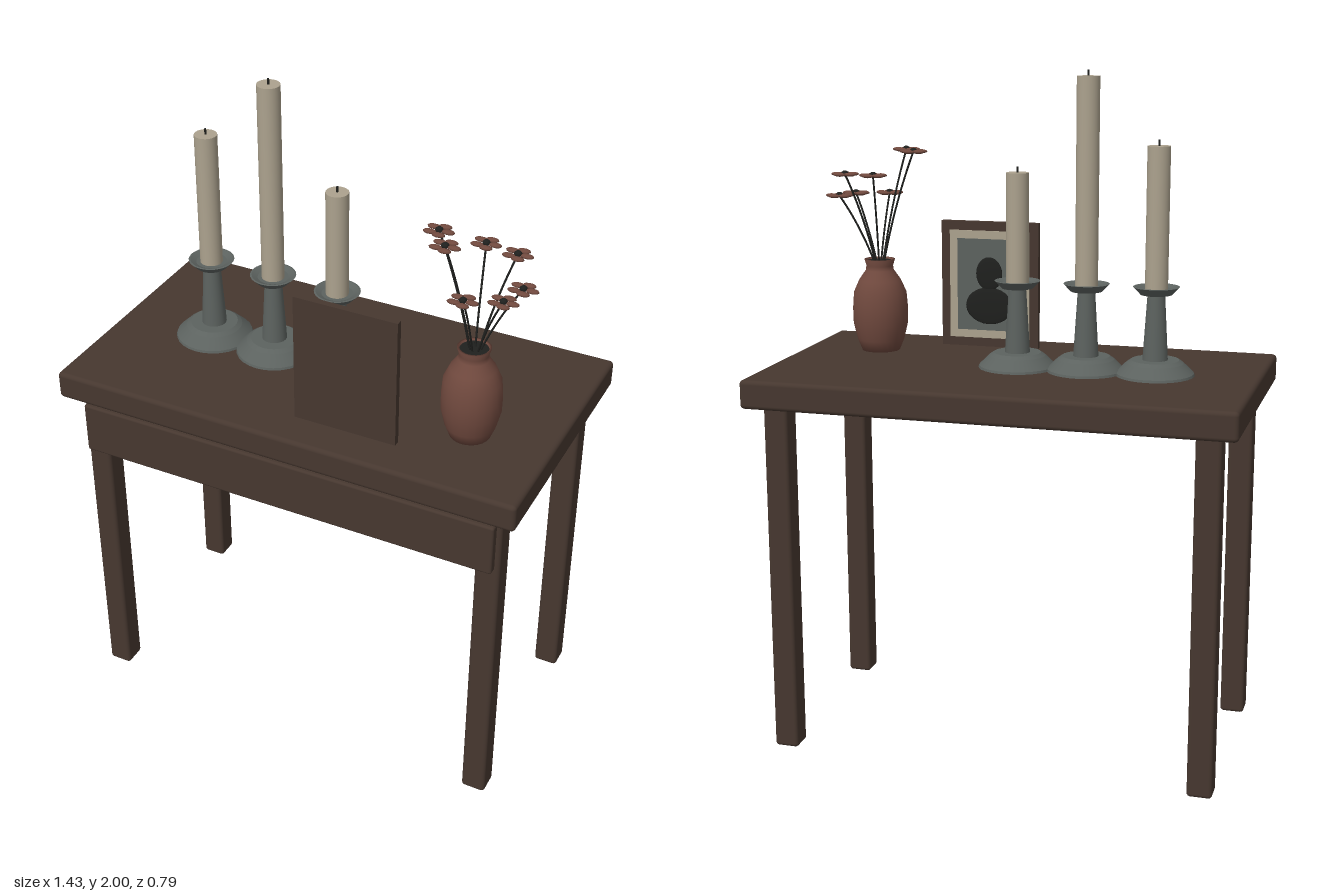
import * as THREE from 'three';
import { RoundedBoxGeometry } from 'three/addons/geometries/RoundedBoxGeometry.js';

const mat = (name, color) => Object.assign(new THREE.MeshStandardMaterial({ color }), { name });

export function createModel() {
  const wood = mat('dark wood', 0x46372f);
  const metal = mat('grey metal', 0x5c625f);
  const wax = mat('cream wax', 0xaca28e);
  const clay = mat('clay', 0x70493e);
  const dark = mat('charcoal', 0x1f201e);
  const root = new THREE.Group();

  const add = (parent, name, geo, material, x = 0, y = 0, z = 0) => {
    const m = new THREE.Mesh(geo, material);
    m.name = name;
    m.position.set(x, y, z);
    parent.add(m);
    return m;
  };
  const group = (name, x = 0, y = 0, z = 0) => {
    const g = new THREE.Group();
    g.name = name;
    g.position.set(x, y, z);
    root.add(g);
    return g;
  };
  // Lathe with a hard edge between each pair of profile points
  const turned = (parent, name, pts, material, seg) => {
    for (let i = 0; i < pts.length - 1; i++) {
      const pair = [pts[i], pts[i + 1]].map(p => new THREE.Vector2(p[0], p[1]));
      add(parent, name, new THREE.LatheGeometry(pair, seg), material);
    }
  };

  // Table
  const table = group('table');
  add(table, 'tableTop', new RoundedBoxGeometry(1.43, 0.085, 0.79, 3, 0.013), wood, 0, 1.0975, 0);
  for (const sx of [-1, 1]) for (const sz of [-1, 1]) {
    add(table, 'leg', new RoundedBoxGeometry(0.073, 1.06, 0.073, 3, 0.011), wood, sx * 0.628, 0.53, sz * 0.308);
  }
  add(table, 'apron', new RoundedBoxGeometry(1.3, 0.16, 0.03, 3, 0.007), wood, 0, 0.95, 0.355);

  // Candlesticks: x position and top of candle
  for (const [x, top] of [[-0.412, 1.795], [-0.207, 1.985], [0, 1.71]]) {
    const g = group('candlestick', x);
    turned(g, 'base', [[0, 1.14], [0.115, 1.14], [0.113, 1.147], [0.083, 1.176], [0.07, 1.185], [0, 1.185]], metal, 28);
    turned(g, 'stem', [[0.037, 1.183], [0.025, 1.38]], metal, 20);
    turned(g, 'dish', [[0, 1.375], [0.046, 1.375], [0.067, 1.397], [0.062, 1.398], [0.045, 1.39], [0, 1.39]], metal, 28);
    add(g, 'candle', new THREE.CylinderGeometry(0.033, 0.033, top - 1.39, 24), wax, 0, (top + 1.39) / 2, 0);
    add(g, 'wick', new THREE.CylinderGeometry(0.003, 0.003, 0.022, 8), dark, 0, top + 0.006, 0);
  }

  // Picture frame, its picture facing the back
  const frame = group('pictureFrame', 0.1625, 1.335, 0);
  add(frame, 'frameBoard', new THREE.BoxGeometry(0.31, 0.39, 0.02), wood, 0, 0, 0.272);
  add(frame, 'mat', new THREE.BoxGeometry(0.255, 0.335, 0.005), wax, 0, 0, 0.26);
  add(frame, 'picturePanel', new THREE.BoxGeometry(0.205, 0.285, 0.005), metal, 0, 0, 0.2575);
  add(frame, 'portraitHead', new THREE.SphereGeometry(1, 20, 12), dark, 0, 0.035, 0.255).scale.set(0.042, 0.052, 0.005);
  add(frame, 'portraitShoulders', new THREE.SphereGeometry(1, 20, 12), dark, 0, -0.065, 0.255).scale.set(0.075, 0.058, 0.005);

  // Vase
  const vx = 0.477, vz = 0.136;
  const vase = group('vase', vx, 0, vz);
  const profile = [[0, 1.14], [0.058, 1.14], [0.072, 1.175], [0.084, 1.225], [0.085, 1.27], [0.081, 1.32],
    [0.064, 1.358], [0.043, 1.388], [0.041, 1.402], [0.047, 1.422], [0.041, 1.422], [0.036, 1.4]];
  add(vase, 'vaseBody', new THREE.LatheGeometry(profile.map(p => new THREE.Vector2(...p)), 24), clay);
  add(vase, 'vaseMouth', new THREE.CylinderGeometry(0.041, 0.041, 0.004, 24), dark, 0, 1.415, 0);

  // Flowers on curved stems
  const heads = [[0.365, 1.75, 0.143], [0.412, 1.75, 0.213], [0.458, 1.685, 0.042], [0.554, 1.685, 0.06],
    [0.475, 1.615, 0.231], [0.57, 1.615, 0.19], [0.592, 1.615, 0.107]];
  const petal = new THREE.SphereGeometry(1, 10, 6);
  for (const [x, y, z] of heads) {
    const g = group('flower', x, y, z);
    const dx = vx - x, dz = vz - z;
    const curve = new THREE.QuadraticBezierCurve3(
      new THREE.Vector3(dx * 0.9, 1.4 - y, dz * 0.9),
      new THREE.Vector3(dx * 0.55, (1.4 - y) * 0.45, dz * 0.55),
      new THREE.Vector3(0, 0, 0));
    add(g, 'flowerStem', new THREE.TubeGeometry(curve, 10, 0.003, 6), dark);
    for (let i = 0; i < 5; i++) {
      const a = i * Math.PI * 2 / 5;
      add(g, 'petal', petal, clay, Math.cos(a) * 0.025, 0, Math.sin(a) * 0.025).scale.set(0.019, 0.006, 0.011);
    }
    add(g, 'flowerCentre', petal, dark, 0, 0.002, 0).scale.set(0.011, 0.009, 0.011);
  }
  return root;
}
